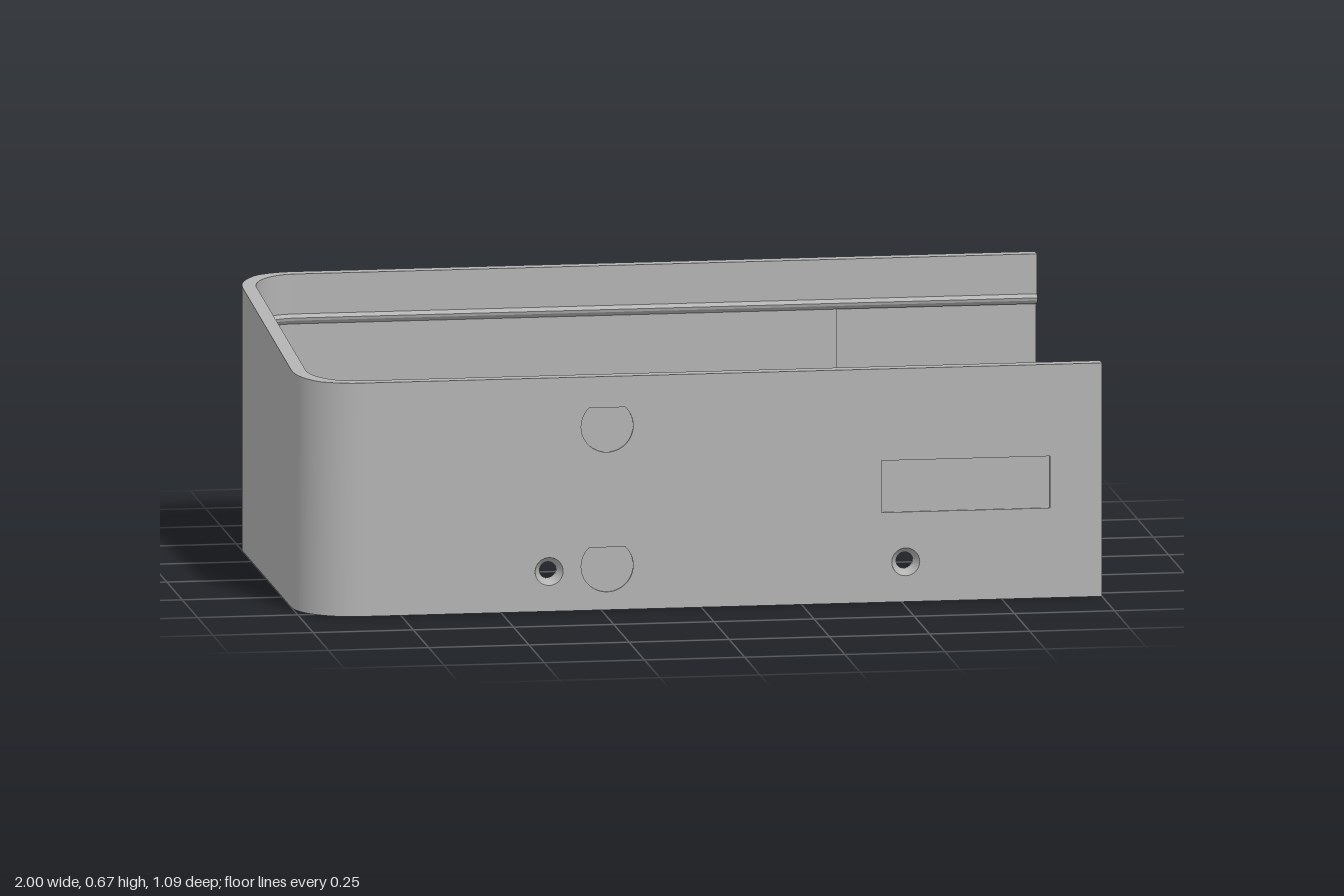
import * as THREE from 'three';
import { toCreasedNormals } from 'three/addons/utils/BufferGeometryUtils.js';

const D = 0.547;          // half depth to the outer faces
const R = 0.15;           // outer corner radius
const X0 = -1 + R;        // where the straight walls begin
const LOW = 0.585, HIGH = 0.67;
const TOP = Infinity;     // profile marker for the sloping rim
const rimY = z => THREE.MathUtils.mapLinear(THREE.MathUtils.clamp(z, -0.51, 0.51), -0.51, 0.51, HIGH, LOW);

const RIB = [[0.035, 0.57], [0.048, 0.562], [0.046, 0.555], [0.035, 0.545]];
const LIP = [[0.035, 0.055], [0.021, 0.04], [0.021, 0]];
const OUTER = [[0, 0], [0, TOP], [0.035, TOP]];

// Sweeps a closed profile of [inward offset, height] along path points {x, z, nx, nz}
function sweep(path, profile) {
  const rings = path.map(p => profile.map(([d, y]) => {
    const z = p.z - p.nz * d;
    return [p.x - p.nx * d, y === TOP ? rimY(z) : y, z];
  }));
  const pos = [];
  const tri = (a, b, c) => pos.push(...a, ...b, ...c);
  const n = profile.length;
  for (let i = 0; i < rings.length - 1; i++) {
    for (let j = 0; j < n; j++) {
      const k = (j + 1) % n, a = rings[i], b = rings[i + 1];
      tri(a[j], b[j], b[k]);
      tri(a[j], b[k], a[k]);
    }
  }
  // End caps
  const flat = profile.map(([d, y]) => new THREE.Vector2(d, y === TOP ? 0.6 : y));
  const last = rings[rings.length - 1];
  for (const [a, b, c] of THREE.ShapeUtils.triangulateShape(flat, [])) {
    tri(rings[0][a], rings[0][b], rings[0][c]);
    tri(last[a], last[c], last[b]);
  }
  const g = new THREE.BufferGeometry();
  g.setAttribute('position', new THREE.Float32BufferAttribute(pos, 3));
  return toCreasedNormals(g, 0.4);
}

const backPoint = x => ({ x, z: -D, nx: 0, nz: -1 });
const frontPoint = x => ({ x, z: D, nx: 0, nz: 1 });

// Quarter turn points, sign -1 for the back corner and 1 for the front
function corner(sign, steps = 14) {
  const pts = [];
  for (let i = 0; i <= steps; i++) {
    const t = (i / steps) * Math.PI / 2;
    const a = sign < 0 ? t : Math.PI / 2 - t;
    const nx = -Math.sin(a), nz = sign * Math.cos(a);
    pts.push({ x: X0 + nx * R, z: sign * (D - R) + nz * R, nx, nz });
  }
  return pts;
}

function polygon(points) {
  return new THREE.Shape(points.map(([x, y]) => new THREE.Vector2(x, y)));
}
const rect = (x0, x1, y0, y1) => polygon([[x0, y0], [x1, y0], [x1, y1], [x0, y1]]);

function circle(x, y, r) {
  return new THREE.Path().absarc(x, y, r, 0, Math.PI * 2, true);
}

function teardrop(x, y, r = 0.065, tip = 0.09) {
  const a = Math.acos(r / tip);
  const p = new THREE.Path();
  p.moveTo(x, y + tip);
  p.absarc(x, y, r, Math.PI / 2 + a, Math.PI * 2.5 - a, false);
  p.closePath();
  return p;
}

// Flat panel with holes, between depths z0 and z1
function panel(shape, holes, z0, z1) {
  shape.holes.push(...holes);
  const g = new THREE.ExtrudeGeometry(shape, { depth: z1 - z0, bevelEnabled: false, curveSegments: 20 });
  return g.translate(0, 0, z0);
}

export function createModel() {
  const group = new THREE.Group();
  const grey = new THREE.MeshStandardMaterial({ color: 0xb2b2b2, side: THREE.DoubleSide });
  grey.name = 'plain grey';
  const add = (name, geometry) => {
    const m = new THREE.Mesh(geometry, grey);
    m.name = name;
    group.add(m);
    return m;
  };

  // Back wall, both rounded corners and the closed end in one sweep
  add('backAndEndWall', sweep(
    [backPoint(0.5), ...corner(-1), ...corner(1)],
    [...OUTER, ...RIB, ...LIP]));

  // Thinner end of the back wall with its inner pocket
  add('backPocketWall', sweep(
    [backPoint(1), backPoint(0.5)],
    [...OUTER, ...RIB, [0.023, 0.545], [0.023, 0.09], [0.035, 0.09], ...LIP]));

  // Front wall in layers: engraved skin, core and pocketed lining
  const screws = [[-0.38, 0.1], [0.51, 0.1]];
  const holes = r => screws.map(([x, y]) => circle(x, y, r));
  const label = rect(0.45, 0.87, 0.225, 0.355);
  add('frontSkin', panel(rect(X0, 1, 0, LOW),
    [...holes(0.035), teardrop(-0.235, 0.46), teardrop(-0.235, 0.11), label], D - 0.004, D));
  add('frontCore', panel(rect(X0, 1, 0, LOW), holes(0.035), D - 0.021, D - 0.004));
  add('frontLining', panel(polygon([
    [X0, 0.055], [1, 0.055], [1, 0.135], [0.54, 0.135],
    [0.54, 0.545], [1, 0.545], [1, LOW], [X0, LOW]]), holes(0.021), D - 0.035, D - 0.021));

  // Inner rib and bottom chamfer along the front wall
  const run = [frontPoint(X0), frontPoint(1)];
  add('frontRib', sweep(run, RIB));
  add('frontLipChamfer', sweep(run, [[0.021, 0.055], [0.035, 0.055], [0.021, 0.04]]));

  // Countersunk screw seats
  for (const [x, y] of screws) {
    const seat = new THREE.CylinderGeometry(0.035, 0.021, 0.021, 28, 1, true).rotateX(Math.PI / 2);
    add('screwSeat', seat).position.set(x, y, D - 0.0105);
  }
  return group;
}
